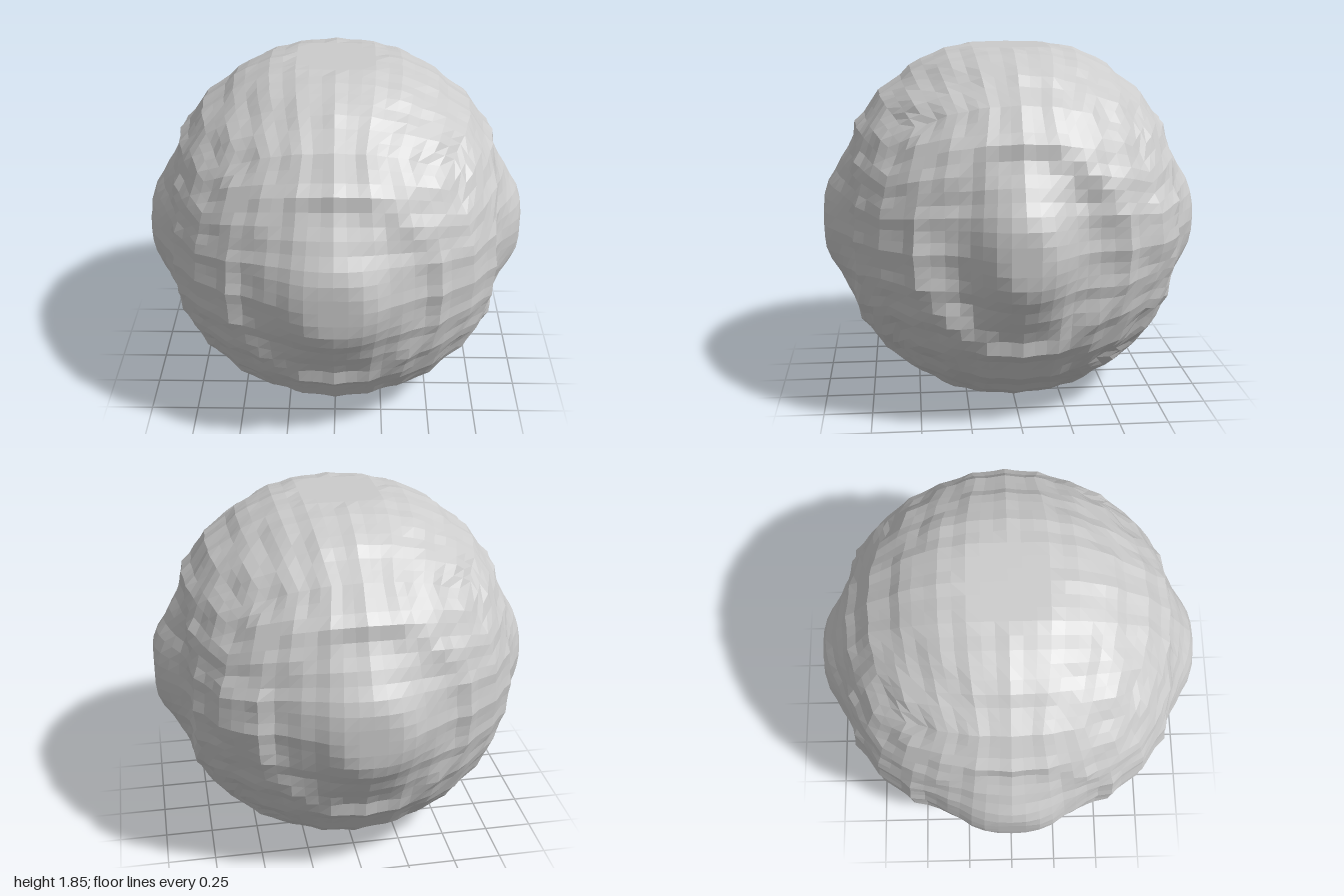
import * as THREE from 'three';

const { smoothstep } = THREE.MathUtils;
const HALF_HEIGHT = 0.925;
const CELL = 0.17;

// Side face: nearly flat panel that swells into a blunt knob in the middle
const panel = (u, v) => 0.815 + 0.178 * (1 - smoothstep(Math.hypot(u, v), 0.12, 0.5));

// Shallow voxel-like terraces
const ripple = (p) =>
  0.005 * (Math.cos((2 * Math.PI * p.x) / CELL) + Math.cos((2 * Math.PI * p.y) / CELL) + Math.cos((2 * Math.PI * p.z) / CELL));

// Small raised corner at the back left
const corner = new THREE.Vector3(0.62, 0.05, -0.78).normalize();

function inside(p, n) {
  const knob = smoothstep(Math.max(Math.abs(n.x), Math.abs(n.z)), 0.93, 0.99);
  const round = 0.965 + 0.035 * knob + 0.03 * smoothstep(n.dot(corner), 0.97, 1);
  const narrow = p.x > 0 ? 1.35 : 1; // the left knob is slimmer
  const step = ripple(p) * (1 - knob);
  return p.length() < round + step
    && Math.abs(p.y) < HALF_HEIGHT
    && Math.abs(p.x) < panel(p.y, p.z * narrow) + step
    && Math.abs(p.z) < panel(p.x, p.y) + step;
}

// Distance to the surface along direction n
function radius(n) {
  let lo = 0.5, hi = 1.1;
  const p = new THREE.Vector3();
  for (let i = 0; i < 18; i++) {
    const mid = (lo + hi) / 2;
    if (inside(p.copy(n).multiplyScalar(mid), n)) lo = mid; else hi = mid;
  }
  return lo;
}

export function createModel() {
  const group = new THREE.Group();
  group.name = 'lumpyBall';

  // Evenly divided cube pushed out to the rounded surface
  const geometry = new THREE.BoxGeometry(2, 2, 2, 22, 22, 22);
  const pos = geometry.attributes.position;
  const n = new THREE.Vector3();
  const spread = (t) => Math.tan((t * Math.PI) / 4);
  for (let i = 0; i < pos.count; i++) {
    n.set(spread(pos.getX(i)), spread(pos.getY(i)), spread(pos.getZ(i))).normalize();
    n.multiplyScalar(radius(n));
    pos.setXYZ(i, n.x, n.y, n.z);
  }
  const faceted = geometry.toNonIndexed();
  faceted.computeVertexNormals();

  const ball = new THREE.Mesh(faceted, new THREE.MeshStandardMaterial({ color: 0xcccccc, flatShading: true }));
  ball.name = 'ball';
  ball.position.y = HALF_HEIGHT;
  group.add(ball);
  return group;
}
